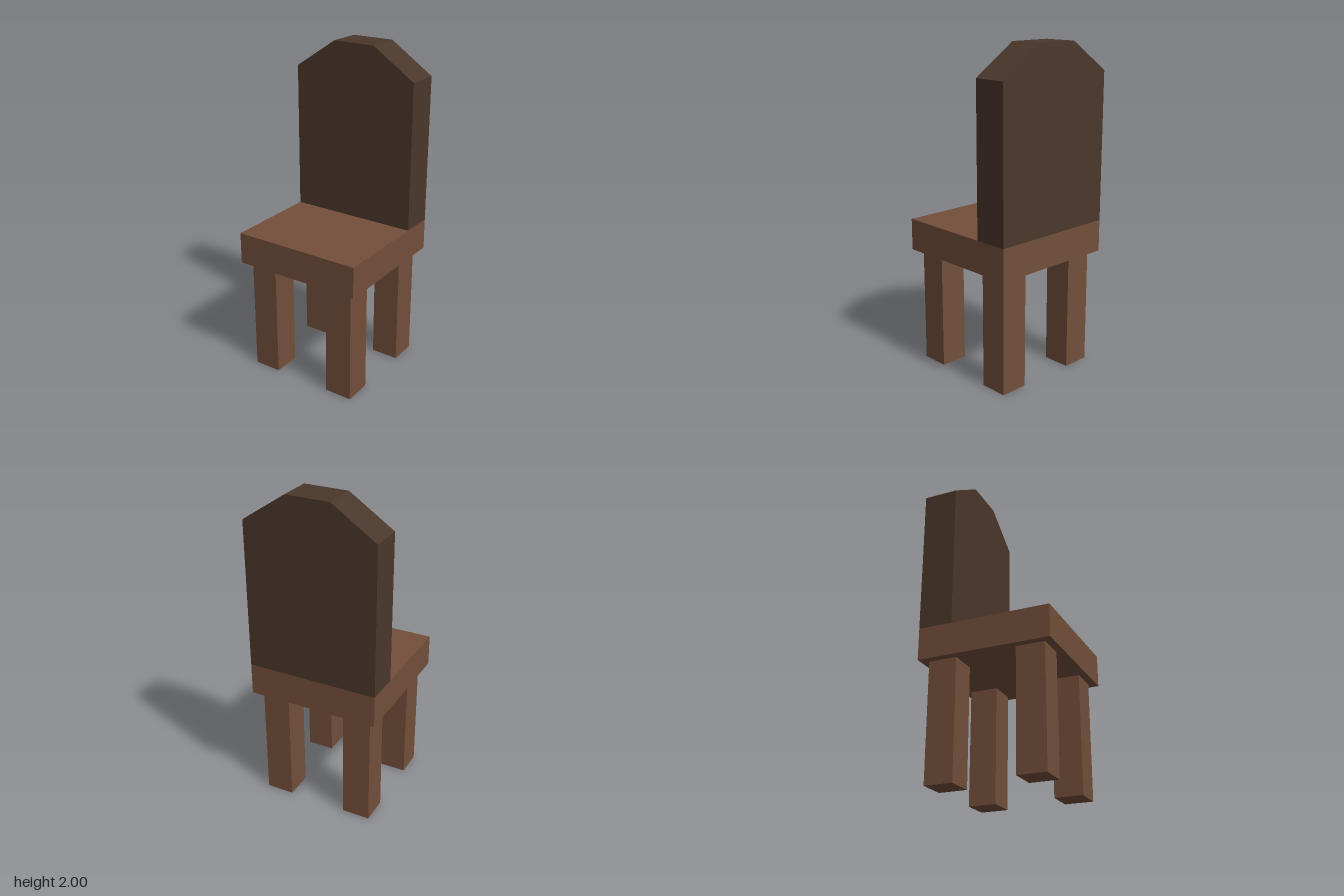
import * as THREE from 'three';

export function createModel() {
  const chair = new THREE.Group();
  chair.name = 'chair';
  const wood = new THREE.MeshStandardMaterial({ color: 0x734f3a, flatShading: true });
  const darkWood = new THREE.MeshStandardMaterial({ color: 0x4a372b, flatShading: true });

  const add = (name, geometry, material, x, y, z) => {
    const mesh = new THREE.Mesh(geometry, material);
    mesh.name = name;
    mesh.position.set(x, y, z);
    chair.add(mesh);
  };

  const half = 0.405, legHeight = 0.72, seatTop = 0.915;

  // Seat slab
  add('seat', new THREE.BoxGeometry(half * 2, seatTop - legHeight, half * 2), wood,
    0, (legHeight + seatTop) / 2, 0);

  // Four square legs, inset from the seat edges
  const legGeometry = new THREE.BoxGeometry(0.173, legHeight, 0.173);
  for (const [side, x] of [['Left', 0.27], ['Right', -0.27]]) {
    for (const [end, z] of [['front', 0.27], ['back', -0.27]]) {
      add(`${end}${side}Leg`, legGeometry, wood, x, legHeight / 2, z);
    }
  }

  // Thick backrest with sloped shoulders and a flat top
  const outline = new THREE.Shape([
    [-half, seatTop], [half, seatTop], [half, 1.82],
    [0.135, 2], [-0.135, 2], [-half, 1.82],
  ].map(([x, y]) => new THREE.Vector2(x, y)));
  add('backrest', new THREE.ExtrudeGeometry(outline, { depth: 0.209, bevelEnabled: false }),
    darkWood, 0, 0, -half);

  return chair;
}
